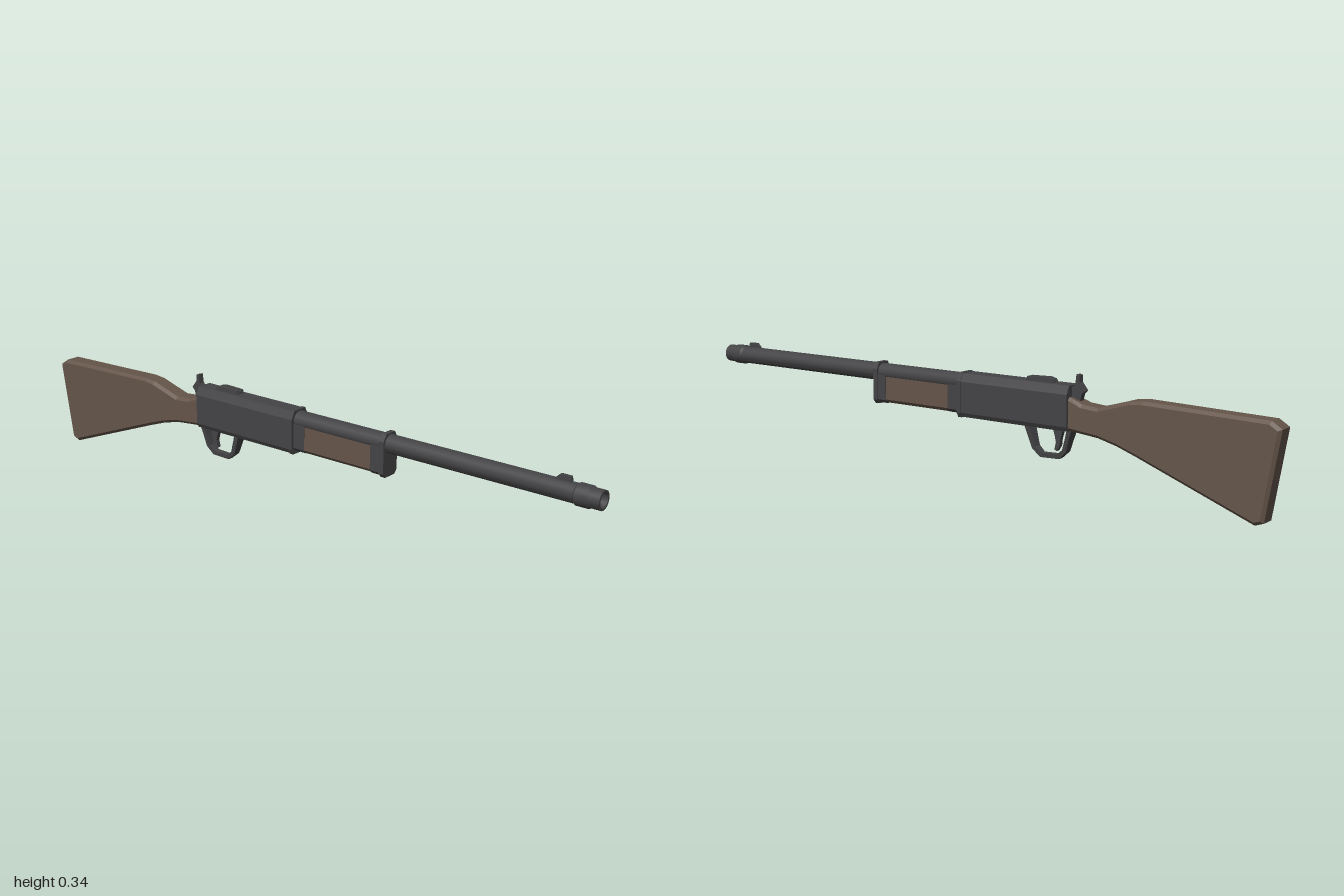
import * as THREE from 'three';
import { toCreasedNormals } from 'three/addons/utils/BufferGeometryUtils.js';

const wood = new THREE.MeshStandardMaterial({ color: 0x65554a });
const metal = new THREE.MeshStandardMaterial({ color: 0x444345 });
wood.name = 'wood';
metal.name = 'gunmetal';

const toShape = (pts) => new THREE.Shape(pts.map(([x, y]) => new THREE.Vector2(x, y)));

// Side outline in x/y, given thickness centred on z = 0, with an inward bevel
function plate(shape, thickness, bevel = 0) {
  const geo = new THREE.ExtrudeGeometry(shape, {
    depth: thickness - 2 * bevel, bevelEnabled: bevel > 0, bevelSegments: 1,
    bevelSize: bevel, bevelThickness: bevel, bevelOffset: -bevel,
  });
  return geo.translate(0, 0, -thickness / 2 + bevel);
}

// Mirrored cross-section, [half width, y] from bottom to top, drawn along x
function bar(half, x0, x1) {
  const pts = [...half, ...half.map(([z, y]) => [-z, y]).reverse()];
  const geo = new THREE.ExtrudeGeometry(toShape(pts), { depth: x1 - x0, bevelEnabled: false });
  return geo.rotateY(Math.PI / 2).translate(x0, 0, 0);
}

export function createModel() {
  const group = new THREE.Group();
  const add = (name, geo, mat = metal) => {
    const mesh = new THREE.Mesh(geo, mat);
    mesh.name = name;
    group.add(mesh);
    return mesh;
  };

  // Shoulder stock with chamfered edges
  add('stock', plate(toShape([
    [-0.96, 0.012], [-0.935, 0.003], [-0.58, 0.136], [-0.52, 0.157], [-0.46, 0.172],
    [-0.36, 0.182], [-0.36, 0.278], [-0.41, 0.26], [-0.46, 0.256], [-0.525, 0.275],
    [-0.56, 0.286], [-0.6, 0.29], [-0.97, 0.281], [-1, 0.262],
  ]), 0.062, 0.009), wood);

  // Receiver, with a slightly larger collar at its front
  const section = [[0.029, 0.179], [0.036, 0.192], [0.036, 0.284], [0.024, 0.308]];
  add('receiver', bar(section, -0.366, 0.005));
  add('receiverCollar', bar(section.map(([z, y]) => [z * 1.03, 0.245 + (y - 0.245) * 1.03]), 0.003, 0.016));

  // Barrel with muzzle ring and bore
  const barrel = new THREE.LatheGeometry([
    [0, 0], [0.0275, 0], [0.0275, 0.925], [0.031, 0.93], [0.031, 0.965],
    [0.0275, 0.97], [0.0275, 1], [0.021, 1], [0.021, 0.965], [0, 0.965],
  ].map(([r, y]) => new THREE.Vector2(r, y)), 20);
  barrel.rotateZ(-Math.PI / 2).translate(0, 0.278, 0);
  add('barrel', toCreasedNormals(barrel, 0.6));

  // Wooden pump grip between metal ends
  const grip = [[0.019, 0.188], [0.028, 0.198], [0.028, 0.268]];
  add('pumpGrip', bar(grip, 0.055, 0.296), wood);
  add('gripRearSleeve', bar([[0.019, 0.187], [0.029, 0.197], [0.029, 0.27]], 0.01, 0.056));
  add('gripFrontCap', bar([[0.02, 0.186], [0.03, 0.196], [0.03, 0.272]], 0.295, 0.336));
  add('barrelBand', bar([[0.022, 0.182], [0.032, 0.194], [0.032, 0.29], [0.02, 0.31]], 0.328, 0.343));

  // Trigger guard, narrowing toward the bottom
  const guardShape = toShape([
    [-0.372, 0.186], [-0.36, 0.15], [-0.35, 0.115], [-0.325, 0.092], [-0.262, 0.09],
    [-0.235, 0.112], [-0.209, 0.186],
  ]);
  guardShape.holes.push(new THREE.Path([
    [-0.355, 0.179], [-0.347, 0.15], [-0.337, 0.12], [-0.32, 0.105],
    [-0.265, 0.103], [-0.247, 0.12], [-0.228, 0.179],
  ].map(([x, y]) => new THREE.Vector2(x, y))));
  const guard = plate(guardShape, 2);
  const p = guard.attributes.position;
  for (let i = 0; i < p.count; i++) {
    p.setZ(i, p.getZ(i) * THREE.MathUtils.mapLinear(p.getY(i), 0.09, 0.186, 0.009, 0.018));
  }
  guard.computeVertexNormals();
  add('triggerGuard', guard);

  // Curved trigger
  add('trigger', plate(toShape([
    [-0.338, 0.185], [-0.328, 0.15], [-0.326, 0.13], [-0.316, 0.114], [-0.308, 0.117],
    [-0.313, 0.14], [-0.308, 0.16], [-0.3, 0.185],
  ]), 0.013));

  // Hammer behind the receiver
  add('hammer', plate(toShape([
    [-0.36, 0.262], [-0.36, 0.298], [-0.376, 0.312], [-0.38, 0.34], [-0.389, 0.338],
    [-0.39, 0.318], [-0.408, 0.295], [-0.398, 0.286], [-0.392, 0.262],
  ]), 0.018));

  // Rear sight: two low rails with a groove between them
  for (const side of [-1, 1]) {
    const rail = plate(toShape([
      [-0.308, 0.305], [-0.213, 0.305], [-0.218, 0.32], [-0.285, 0.322], [-0.3, 0.318],
    ]), 0.01);
    add('rearSightRail', rail.translate(0, 0, side * 0.009));
  }
  add('rearSightBase', new THREE.BoxGeometry(0.085, 0.012, 0.016).translate(-0.26, 0.308, 0));

  // Front sight
  add('frontSight', plate(toShape([
    [0.855, 0.3], [0.91, 0.3], [0.906, 0.32], [0.875, 0.32],
  ]), 0.011));

  return group;
}
